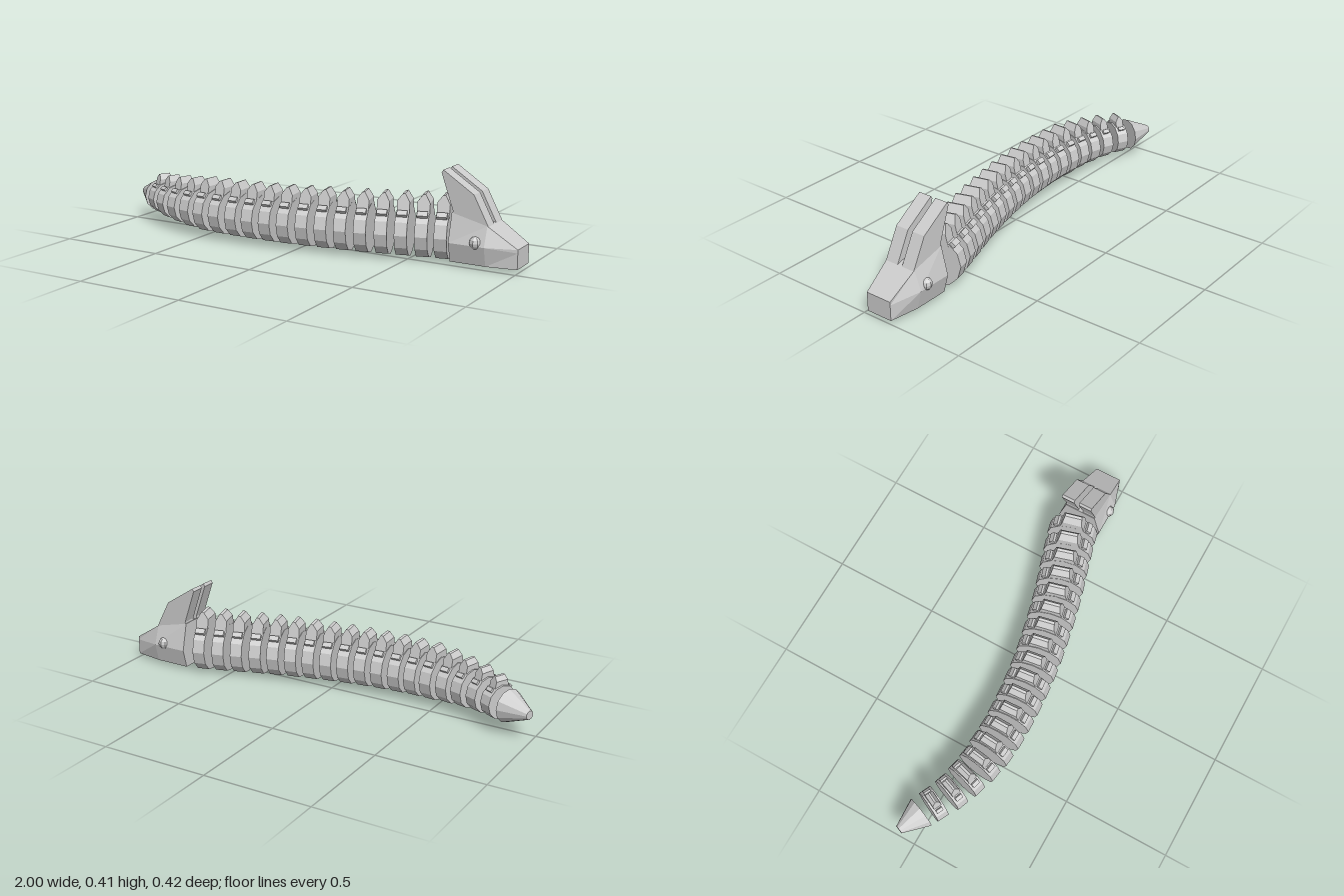
import * as THREE from 'three';

const material = new THREE.MeshStandardMaterial({ color: 0xcccccc, flatShading: true });

function add(parent, name, geometry, x = 0, y = 0, z = 0) {
  const mesh = new THREE.Mesh(geometry, material);
  mesh.name = name;
  mesh.position.set(x, y, z);
  parent.add(mesh);
  return mesh;
}

// Joins cross-sections (ordered along +x) into a closed solid.
function loft(sections) {
  const out = [];
  const n = sections[0].length;
  const tri = (...pts) => pts.forEach((p) => out.push(...p));
  for (let i = 0; i < sections.length - 1; i++) {
    for (let j = 0; j < n; j++) {
      const k = (j + 1) % n;
      const [a, b, c, d] = [sections[i][j], sections[i][k], sections[i + 1][k], sections[i + 1][j]];
      tri(a, b, d);
      tri(b, c, d);
    }
  }
  const first = sections[0], last = sections[sections.length - 1];
  for (let j = 1; j < n - 1; j++) {
    tri(first[0], first[j + 1], first[j]);
    tri(last[0], last[j], last[j + 1]);
  }
  const geometry = new THREE.BufferGeometry();
  geometry.setAttribute('position', new THREE.Float32BufferAttribute(out, 3));
  geometry.computeVertexNormals();
  return geometry;
}

// Extrudes a side profile, centred on z = 0.
function sideProfile(points, depth) {
  const shape = new THREE.Shape(points.map(([x, y]) => new THREE.Vector2(x, y)));
  const geometry = new THREE.ExtrudeGeometry(shape, { depth, bevelEnabled: false });
  return geometry.translate(0, 0, -depth / 2);
}

// Back fin, narrowing towards its top (unit body radius).
function finGeometry() {
  const geometry = sideProfile([[-0.24, 0.7], [0.25, 0.7], [0.25, 1.2], [0.06, 1.53], [-0.05, 1.5], [-0.24, 1.25]], 1);
  const p = geometry.attributes.position;
  for (let i = 0; i < p.count; i++) p.setZ(i, p.getZ(i) * (1.05 - 0.45 * (p.getY(i) - 0.7)));
  geometry.computeVertexNormals();
  return geometry;
}

function createBody() {
  const body = new THREE.Group();
  body.name = 'body';
  const spine = new THREE.CatmullRomCurve3([
    [-0.88, -0.025], [-0.82, 0.005], [-0.74, 0.043], [-0.655, 0.07], [-0.57, 0.09], [-0.4, 0.106],
    [-0.22, 0.1], [-0.045, 0.082], [0.13, 0.05], [0.3, 0.01], [0.47, -0.04], [0.635, -0.087], [0.72, -0.105],
  ].map(([x, z]) => new THREE.Vector3(x, 0, z)));
  const samples = spine.getPoints(1200);
  const ring = new THREE.CylinderGeometry(1, 1, 1, 12).rotateZ(Math.PI / 2);
  const plate = new THREE.BoxGeometry(0.4, 0.2, 0.22);
  const fin = finGeometry();

  for (let i = 0; i < 18; i++) {
    const x = -0.82 + i * 0.0856;
    const k = samples.findIndex((p) => p.x >= x);
    const dir = samples[k + 1].clone().sub(samples[k - 1]);
    const r = i < 4 ? 0.077 + 0.006 * i : 0.101 + (i - 4) * 0.00115;
    const segment = new THREE.Group();
    segment.name = 'bodySegment';
    segment.position.set(x, 0.125 - i * 0.0005, samples[k].z);
    segment.rotation.y = Math.atan2(-dir.z, dir.x);
    body.add(segment);

    add(segment, 'ring', ring).scale.set(0.056, r, r);
    add(segment, 'fin', fin).scale.setScalar(r);
    // Shoulder plates beside the fin
    for (const s of [-1, 1]) {
      const shoulder = add(segment, 'shoulderPlate', plate, 0, 0.78 * r, s * 0.64 * r);
      shoulder.scale.setScalar(r);
      shoulder.rotation.x = s * 0.72;
    }
  }

  // Blunt tail cone
  const tail = new THREE.CylinderGeometry(0.02, 0.076, 0.123, 12).rotateZ(Math.PI / 2);
  add(body, 'tailTip', tail, -0.937, 0.125, -0.047).rotation.y = -0.38;
  return body;
}

function createHead() {
  const head = new THREE.Group();
  head.name = 'head';
  head.position.z = -0.085;
  const section = (x, top, topW, mid, midW, bottomW) => [
    [x, mid, -midW], [x, top, -topW], [x, top, topW], [x, mid, midW], [x, 0.018, bottomW], [x, 0.018, -bottomW],
  ];
  add(head, 'skull', loft([
    section(0.7, 0.232, 0.075, 0.105, 0.107, 0.085),
    section(0.865, 0.192, 0.075, 0.105, 0.107, 0.085),
    section(1, 0.105, 0.063, 0.09, 0.063, 0.063),
  ]));

  // Paired swept-back horns and eyes
  const horn = sideProfile([[0.7, 0.2], [0.87, 0.188], [0.8, 0.32], [0.656, 0.413], [0.648, 0.4], [0.705, 0.24]], 0.063);
  const eye = new THREE.SphereGeometry(0.028, 8, 6);
  for (const s of [-1, 1]) {
    add(head, 'horn', horn, 0, 0, s * 0.0435);
    add(head, 'eye', eye, 0.82, 0.118, s * 0.094);
  }
  return head;
}

export function createModel() {
  const model = new THREE.Group();
  model.name = 'segmentedSerpent';
  model.add(createBody(), createHead());
  return model;
}
